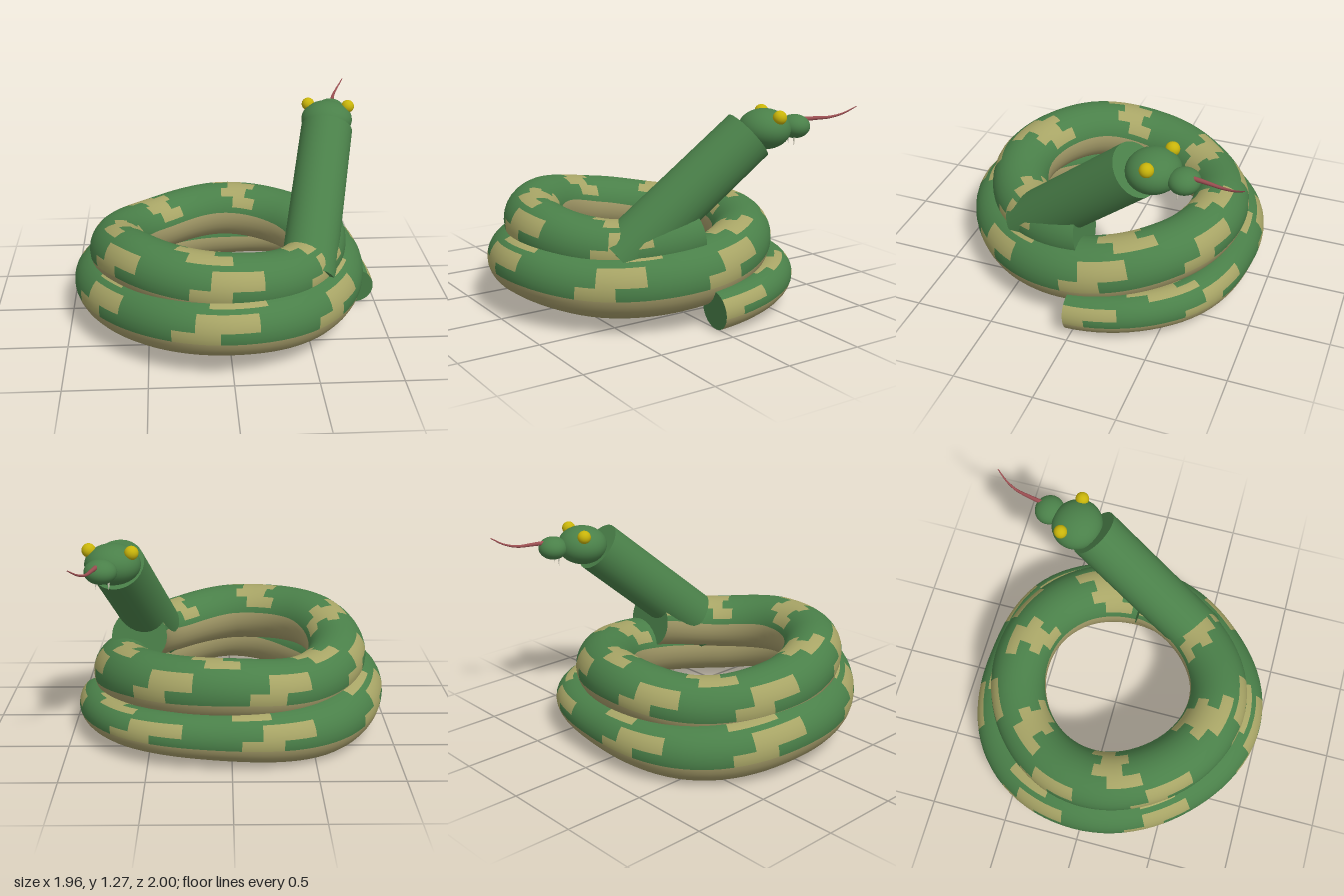
import * as THREE from 'three';

const mat = (color) => new THREE.MeshStandardMaterial({ color });
const V = (x, y, z) => new THREE.Vector3(x, y, z);
const GREEN = mat(0x4a8049), PATCH = mat(0xa8a566), BELLY = mat(0xa39a68);
const YELLOW = mat(0xc8b40a), PINK = mat(0x9c4f52), FANG = mat(0xe8e4d0);

// Coil radius, height and body thickness at every 45 degrees, tail first
const COIL = [
  [0.86, 0.13, 0.12], [0.86, 0.18, 0.125], [0.765, 0.18, 0.145], [0.805, 0.17, 0.17],
  [0.795, 0.238, 0.183], [0.77, 0.272, 0.19], [0.822, 0.303, 0.175], [0.732, 0.273, 0.192],
  [0.69, 0.32, 0.2], [0.655, 0.4, 0.19], [0.64, 0.43, 0.183], [0.65, 0.395, 0.18],
  [0.683, 0.45, 0.185], [0.685, 0.525, 0.185], [0.685, 0.505, 0.187], [0.63, 0.465, 0.177],
  [0.592, 0.535, 0.178],
];
const coil = new THREE.CatmullRomCurve3(COIL.map((c) => V(...c)));
const START = -2, SWEEP = 719;

function bodyPoint(t) {
  const c = coil.getPoint(t);
  const a = THREE.MathUtils.degToRad(START + SWEEP * t);
  return { p: V(c.x * Math.cos(a), c.y, -c.x * Math.sin(a)), r: c.z };
}

// Cross-section frame: outward and upward directions
function bodyFrame(t) {
  const a = bodyPoint(Math.max(0, t - 0.002)).p;
  const T = bodyPoint(Math.min(1, t + 0.002)).p.sub(a).normalize();
  const out = new THREE.Vector3().crossVectors(T, V(0, 1, 0)).normalize();
  return { ...bodyPoint(t), T, out, up: new THREE.Vector3().crossVectors(out, T) };
}

// Skin rule: plain belly, stepped patches along the back and the outer flank
function skin(phi, deg) {
  if (deg > 168 && deg < 348) return 'belly';
  const near = (centre, period, half) => {
    const d = (phi - centre + period * 1.5) % period - period / 2;
    return Math.abs(d) < half;
  };
  const a = deg >= 348 ? deg - 360 : deg;
  let patch = false;
  if (a < 18) patch = near(-3, 52, 7);
  else if (a < 48) patch = near(7, 52, 10);
  else if (a >= 66 && a < 156) patch = near(34 + [5, -3, 1, -6][Math.floor((a - 66) / 24)], 58, 9);
  return patch ? 'patch' : 'green';
}

function makeBody() {
  const N = 180, M = 30, pos = [], nor = [];
  const faces = { green: [], patch: [], belly: [] };
  for (let i = 0; i <= N; i++) {
    const f = bodyFrame(i / N);
    for (let j = 0; j <= M; j++) {
      const a = (j / M) * Math.PI * 2;
      const n = f.out.clone().multiplyScalar(Math.cos(a)).addScaledVector(f.up, Math.sin(a));
      nor.push(...n.toArray());
      pos.push(...f.p.clone().addScaledVector(n, f.r).toArray());
    }
  }
  for (let i = 0; i < N; i++) {
    for (let j = 0; j < M; j++) {
      const kind = skin(START + (SWEEP * (i + 0.5)) / N, ((j + 0.5) / M) * 360);
      const a = i * (M + 1) + j, b = a + M + 1;
      faces[kind].push(a, b, b + 1, a, b + 1, a + 1);
    }
  }
  const body = new THREE.Group();
  body.name = 'coiledBody';
  const P = new THREE.Float32BufferAttribute(pos, 3), Nn = new THREE.Float32BufferAttribute(nor, 3);
  const add = (name, index, material) => {
    const g = new THREE.BufferGeometry();
    g.setAttribute('position', P);
    g.setAttribute('normal', Nn);
    g.setIndex(index);
    const m = new THREE.Mesh(g, material);
    m.name = name;
    body.add(m);
  };
  add('backSkin', faces.green, GREEN);
  add('skinPatches', faces.patch, PATCH);
  add('belly', faces.belly, BELLY);

  // Flat discs closing both ends
  for (const [name, t, s] of [['tailEnd', 0, -1], ['coilEnd', 1, 1]]) {
    const f = bodyFrame(t);
    const m = new THREE.Mesh(new THREE.CircleGeometry(f.r, M), GREEN);
    m.name = name;
    m.position.copy(f.p);
    m.quaternion.setFromUnitVectors(V(0, 0, 1), f.T.multiplyScalar(s));
    body.add(m);
  }
  return body;
}

export function createModel() {
  const model = new THREE.Group();
  model.name = 'snake';
  const add = (name, geometry, material, x = 0, y = 0, z = 0, parent = model) => {
    const m = new THREE.Mesh(geometry, material);
    m.name = name;
    m.position.set(x, y, z);
    parent.add(m);
    return m;
  };
  model.add(makeBody());

  // Raised neck
  const low = V(0.48, 0.415, 0.455), high = V(0.685, 1.11, -0.325);
  const axis = high.clone().sub(low);
  const mid = low.clone().add(high).multiplyScalar(0.5);
  const neck = add('neck', new THREE.CylinderGeometry(0.167, 0.172, axis.length(), 32), GREEN, mid.x, mid.y, mid.z);
  neck.quaternion.setFromUnitVectors(V(0, 1, 0), axis.normalize());

  // Head, turned slightly to its side; local -z points along the snout
  const head = new THREE.Group();
  head.name = 'head';
  head.position.set(0.7, 1.14, -0.435);
  head.rotation.y = -0.26;
  model.add(head);
  const ball = new THREE.SphereGeometry(1, 32, 20);
  add('skull', ball, GREEN, 0, 0, 0, head).scale.set(0.168, 0.122, 0.158);
  add('snout', ball, GREEN, 0, 0.005, -0.2, head).scale.set(0.097, 0.072, 0.092);
  for (const s of [-1, 1]) {
    add(s > 0 ? 'leftEye' : 'rightEye', ball, YELLOW, s * 0.132, 0.085, -0.038, head).scale.setScalar(0.042);
    const fang = add(s > 0 ? 'leftFang' : 'rightFang', new THREE.ConeGeometry(0.009, 0.06, 10), FANG, s * 0.04, -0.08, -0.18, head);
    fang.rotation.x = Math.PI;
  }

  // Tongue: a tube thinned towards its tip
  const path = new THREE.CatmullRomCurve3([
    V(0.765, 1.185, -0.66), V(0.785, 1.186, -0.76), V(0.81, 1.188, -0.86), V(0.845, 1.21, -0.935), V(0.888, 1.252, -0.998),
  ]);
  const S = 30, R = 10;
  const tongue = new THREE.TubeGeometry(path, S, 0.015, R);
  const p = tongue.attributes.position;
  for (let i = 0; i <= S; i++) {
    const c = path.getPointAt(i / S), k = 1 - 0.8 * (i / S);
    for (let j = 0; j <= R; j++) {
      const id = i * (R + 1) + j;
      const v = V(0, 0, 0).fromBufferAttribute(p, id).sub(c).multiplyScalar(k).add(c);
      p.setXYZ(id, v.x, v.y, v.z);
    }
  }
  add('tongue', tongue, PINK);
  return model;
}
